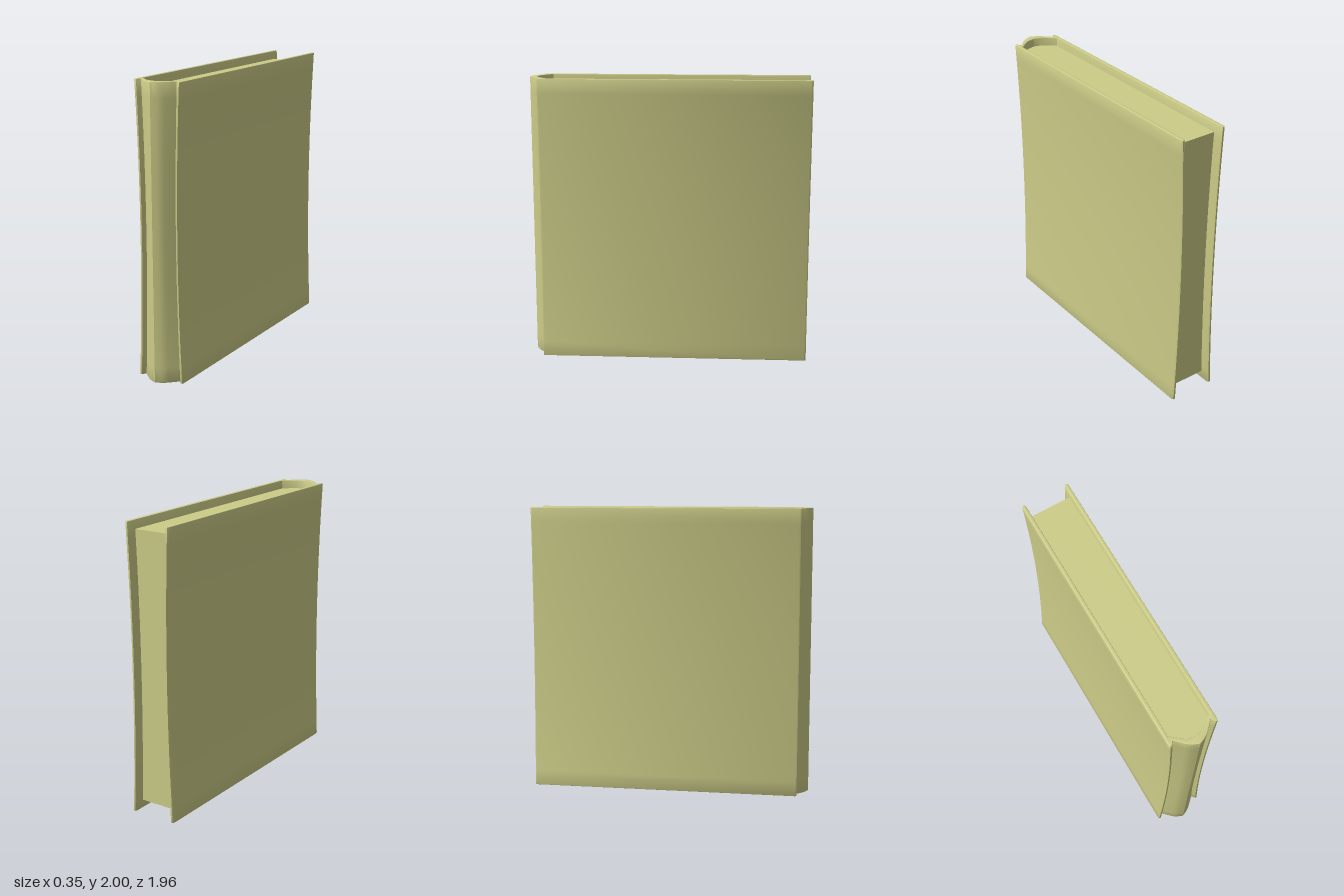
import * as THREE from 'three';
import { toCreasedNormals } from 'three/addons/utils/BufferGeometryUtils.js';

const material = new THREE.MeshStandardMaterial({ color: 0xcccc88 });

// Mirror a half outline running from +x to the centre line (last point x = 0).
const mirror = (half) => [...half, ...half.slice(0, -1).reverse().map(([x, z]) => [-x, z])];

// Narrow the book gently towards the middle of its height.
function pinch(geometry) {
  const p = geometry.attributes.position;
  for (let i = 0; i < p.count; i++) {
    const t = p.getY(i) - 1;
    p.setX(i, p.getX(i) * (1 - 0.15 * (1 - t * t)));
  }
  return toCreasedNormals(geometry, 0.6);
}

// Raise an (x, z) plan from y0 to y1, with a small bevel on its rims.
function raise(name, plan, y0, y1, bevel) {
  const shape = new THREE.Shape(plan.map(([x, z]) => new THREE.Vector2(x, -z)));
  const geometry = new THREE.ExtrudeGeometry(shape, {
    depth: y1 - y0 - 2 * bevel, steps: 20,
    bevelEnabled: bevel > 0, bevelThickness: bevel, bevelSize: bevel,
    bevelOffset: -bevel, bevelSegments: 2,
  });
  geometry.rotateX(-Math.PI / 2).translate(0, y0 + bevel, 0);
  const mesh = new THREE.Mesh(pinch(geometry), material);
  mesh.name = name;
  return mesh;
}

export function createModel() {
  const book = new THREE.Group();
  book.name = 'book';

  // Outer face: board, hinge groove, rounded spine
  const spine = new THREE.SplineCurve([[0.135, 0.88], [0.1, 0.915], [0.055, 0.955], [0, 0.98]]
    .map(([x, z]) => new THREE.Vector2(x, z))).getPoints(8).map((v) => [v.x, v.y]);
  const outer = mirror([
    [0.146, -0.968], [0.152, -0.98], [0.165, -0.98], [0.173, -0.968],
    [0.173, 0.895], [0.168, 0.907], [0.155, 0.907], ...spine,
  ]);
  // Inner face: back down one board, round the spine, up the other
  const inner = mirror([[0.146, 0.84], [0.06, 0.91], [0, 0.925]]).reverse();
  book.add(raise('cover', [...outer, ...inner], 0, 2, 0.005));

  // Page block, set in at the top, bottom and fore edge
  const pages = mirror([[0.148, -0.91], [0.148, 0.842], [0.06, 0.912], [0, 0.928]]);
  book.add(raise('pages', pages, 0.06, 1.94, 0));

  return book;
}
